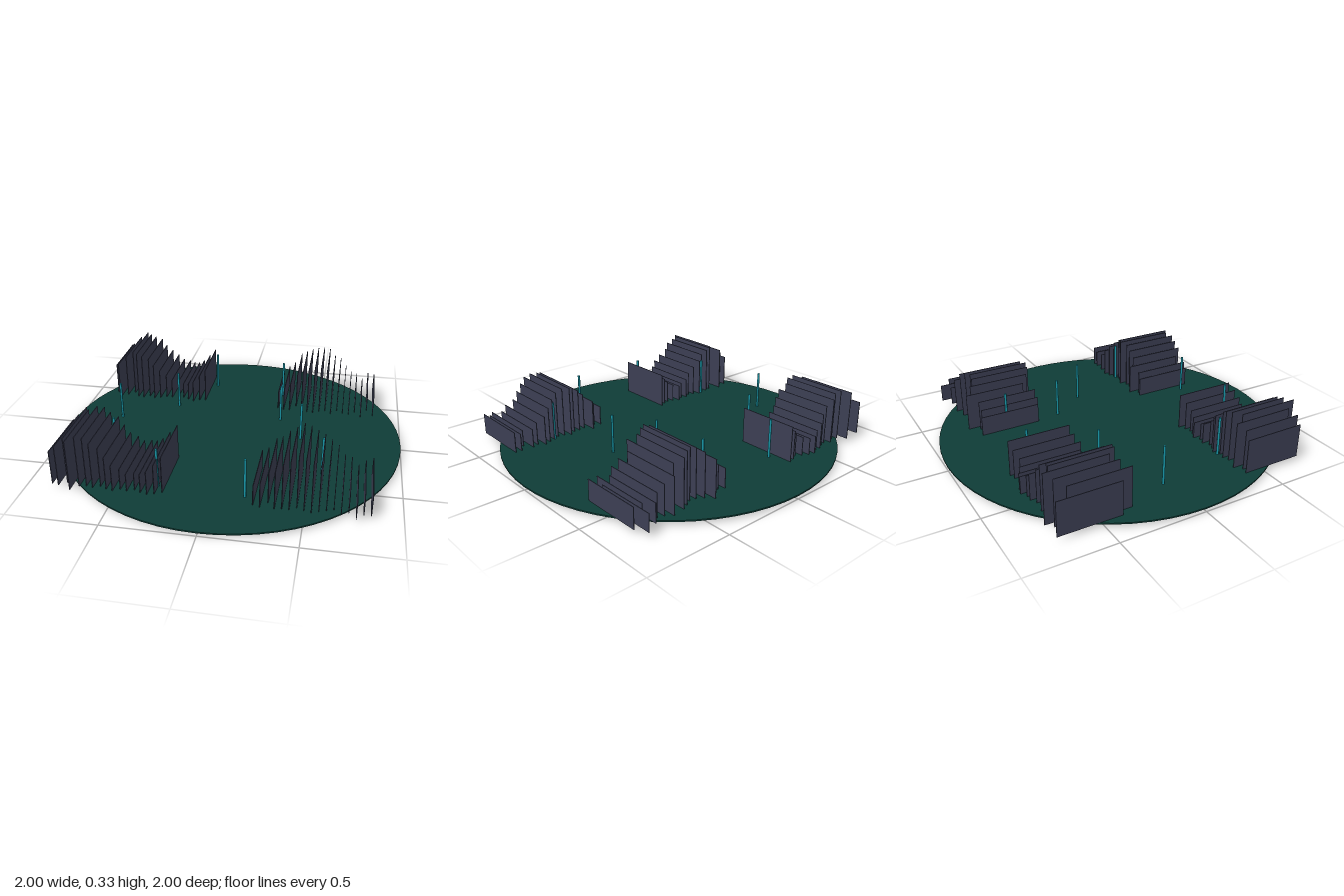
import * as THREE from 'three';

const mat = (name, color) => {
  const m = new THREE.MeshStandardMaterial({ color });
  m.name = name;
  return m;
};

export function createModel() {
  const model = new THREE.Group();
  const green = mat('deep green', 0x0f3d37);
  const slate = mat('dark slate', 0x3c3f54);
  const teal = mat('teal', 0x1797a8);

  // Thin round ground disc
  const disc = new THREE.Mesh(new THREE.CylinderGeometry(1, 1, 0.008, 64), green);
  disc.name = 'groundDisc';
  disc.position.y = 0.021;
  model.add(disc);

  // Four banks of thin upright fins: heights follow one sine wave along x,
  // each fin slides a little along z
  const finLength = 0.36, base = 0.028, spacing = 0.0375;
  const banks = [
    { name: 'backRightFins', x: -0.85, z: [-.575, -.50, -.55, -.585, -.54, -.53, -.55, -.53, -.54, -.56, -.56, -.58, -.57, -.55, -.53, -.55, -.56] },
    { name: 'backLeftFins', x: 0.235, z: [-.53, -.515, -.515, -.575, -.535, -.51, -.505, -.525, -.545, -.51, -.56, -.53, -.52, -.555, -.50, -.595, -.53] },
    { name: 'frontRightFins', x: -0.85, z: [.55, .56, .525, .59, .55, .54, .55, .53, .55, .56, .54, .55, .53, .55, .56, .55, .53] },
    { name: 'frontLeftFins', x: 0.235, z: [.555, .57, .525, .57, .565, .565, .54, .56, .57, .555, .54, .525, .555, .54, .59, .545, .545] },
  ];
  for (const bank of banks) {
    const group = new THREE.Group();
    group.name = bank.name;
    bank.z.forEach((z, i) => {
      const x = bank.x + i * spacing;
      const height = 0.227 - base + 0.1 * Math.sin((x + 0.85) * 0.4 / spacing);
      const fin = new THREE.Mesh(new THREE.BoxGeometry(0.004, height, finLength), slate);
      fin.name = 'fin';
      fin.position.set(x, base + height / 2, z);
      group.add(fin);
    });
    model.add(group);
  }

  // Slim posts that pass through the disc
  const posts = new THREE.Group();
  posts.name = 'posts';
  const postGeometry = new THREE.CylinderGeometry(0.0075, 0.0075, 0.255, 6);
  const spots = [
    [-.21, -.615], [.245, -.55], [-.4, -.28], [.268, -.205], [-.715, -.07],
    [.413, .01], [-.613, .362], [.564, .383], [-.288, .65], [.185, .667],
  ];
  for (const [x, z] of spots) {
    const post = new THREE.Mesh(postGeometry, teal);
    post.name = 'post';
    post.position.set(x, 0.1275, z);
    posts.add(post);
  }
  model.add(posts);

  return model;
}
